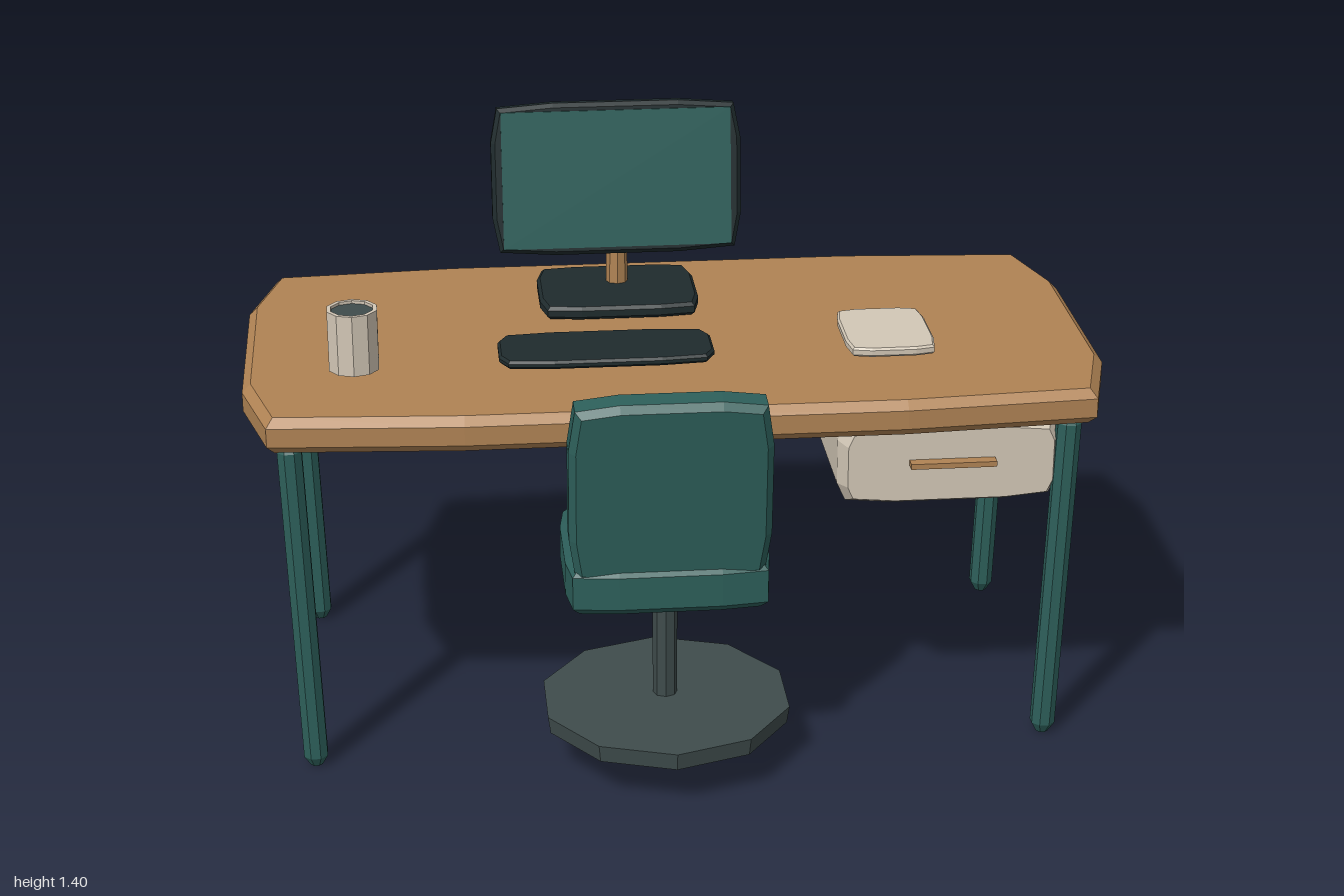
import * as THREE from 'three';

const mat = (name, color) => {
  const m = new THREE.MeshStandardMaterial({ color });
  m.name = name;
  return m;
};

export function createModel() {
  const wood = mat('wood', 0xb08354);
  const green = mat('green', 0x2d5f5a);
  const cream = mat('cream', 0xd2c7b6);
  const dark = mat('charcoal', 0x1f2b2d);
  const grey = mat('grey metal', 0x3f4c4c);
  const model = new THREE.Group();
  model.name = 'deskWorkstation';

  const add = (name, geometry, material, x, y, z, parent = model) => {
    const mesh = new THREE.Mesh(geometry, material);
    mesh.name = name;
    mesh.position.set(x, y, z);
    parent.add(mesh);
    return mesh;
  };

  // faceted normals for round parts
  const facet = (g) => {
    const flat = g.toNonIndexed();
    flat.computeVertexNormals();
    return flat;
  };

  // chamfered slab with gently bowed sides: w by h outline, thickness t along z
  const slab = (w, h, t, cx, cy, bevel, bevelT = bevel) => {
    const a = w / 2, b = h / 2;
    const corner = [[a, -b * 0.5], [a, b * 0.5], [a - cx, b - cy], [a * 0.5, b]];
    const pts = [
      ...corner.slice(1),
      ...corner.slice(1).reverse().map(([x, y]) => [-x, y]),
      ...corner.slice(1).map(([x, y]) => [-x, -y]),
      ...corner.slice(1).reverse().map(([x, y]) => [x, -y]),
    ].map(([x, y]) => new THREE.Vector2(x, y));
    const g = new THREE.ExtrudeGeometry(new THREE.Shape(pts), {
      depth: t - 2 * bevelT, bevelEnabled: true, bevelSegments: 1,
      bevelSize: bevel, bevelOffset: -bevel, bevelThickness: bevelT,
    });
    return g.center();
  };
  const flatSlab = (...args) => slab(...args).rotateX(-Math.PI / 2);

  // desk top
  add('deskTop', flatSlab(2, 1.01, 0.085, 0.06, 0.03, 0.02), wood, 0, 0.868, -0.098);

  // splayed legs with blunt ends
  const legProfile = [[0, 0], [0.015, 0], [0.03, 0.025], [0.03, 0.805], [0.015, 0.83], [0, 0.83]]
    .map(([r, y]) => new THREE.Vector2(r, y));
  for (const side of [-1, 1]) {
    for (const [name, z] of [['frontLeg', 0.298], ['backLeg', -0.483]]) {
      const g = facet(new THREE.LatheGeometry(legProfile, 8, Math.PI / 8));
      const leg = add(name + (side > 0 ? 'Left' : 'Right'), g, green, side * 0.868, 0, z);
      leg.rotation.z = -side * 0.032;
    }
  }

  // drawer box and its pull
  add('drawerBox', slab(0.52, 0.215, 0.79, 0.02, 0.01, 0.02, 0.04), cream, 0.62, 0.713, -0.085);
  add('drawerHandle', new THREE.BoxGeometry(0.2, 0.013, 0.035), wood, 0.622, 0.721, 0.32);

  // chair
  const chair = new THREE.Group();
  chair.name = 'chair';
  model.add(chair);
  add('chairSeat', flatSlab(0.47, 0.39, 0.115, 0.012, 0.012, 0.018), green, -0.045, 0.498, 0.287, chair);
  const back = add('chairBack', slab(0.46, 0.45, 0.085, 0.015, 0.012, 0.016), green, -0.045, 0.743, 0.447, chair);
  back.rotation.x = 0.088;
  add('chairPost', facet(new THREE.CylinderGeometry(0.029, 0.029, 0.32, 8)), grey, -0.042, 0.295, 0.288, chair);
  add('chairBase', facet(new THREE.CylinderGeometry(0.298, 0.292, 0.042, 10)), grey, -0.042, 0.124, 0.302, chair);

  // monitor, leaning back on a wooden neck
  const monitor = new THREE.Group();
  monitor.name = 'monitor';
  model.add(monitor);
  add('monitorFoot', flatSlab(0.385, 0.3, 0.032, 0.015, 0.01, 0.008), dark, -0.103, 0.931, -0.321, monitor);
  add('monitorNeck', facet(new THREE.CylinderGeometry(0.023, 0.027, 0.23, 8)), wood, -0.1, 1.057, -0.36, monitor);
  const head = new THREE.Group();
  head.name = 'monitorHead';
  head.position.set(-0.1, 1.214, -0.357);
  head.rotation.x = -0.135;
  monitor.add(head);
  add('monitorCase', slab(0.605, 0.372, 0.046, 0.016, 0.01, 0.01), dark, 0, 0, 0, head);
  add('monitorScreen', new THREE.BoxGeometry(0.555, 0.335, 0.006), green, 0, 0, 0.0235, head);

  // things on the desk
  add('keyboard', flatSlab(0.5, 0.195, 0.02, 0.02, 0.01, 0.006), dark, -0.16, 0.934, 0.068);
  add('notebook', flatSlab(0.208, 0.268, 0.022, 0.008, 0.01, 0.005), cream, 0.505, 0.937, 0.03);
  const mugProfile = [[0, 0], [0.06, 0], [0.06, 0.145], [0.05, 0.145], [0.05, 0.125]]
    .map(([r, y]) => new THREE.Vector2(r, y));
  add('mug', facet(new THREE.LatheGeometry(mugProfile, 10)), cream, -0.743, 0.93, 0.121);
  add('mugFilling', facet(new THREE.CylinderGeometry(0.051, 0.051, 0.008, 10)), grey, -0.743, 1.064, 0.121);

  return model;
}
